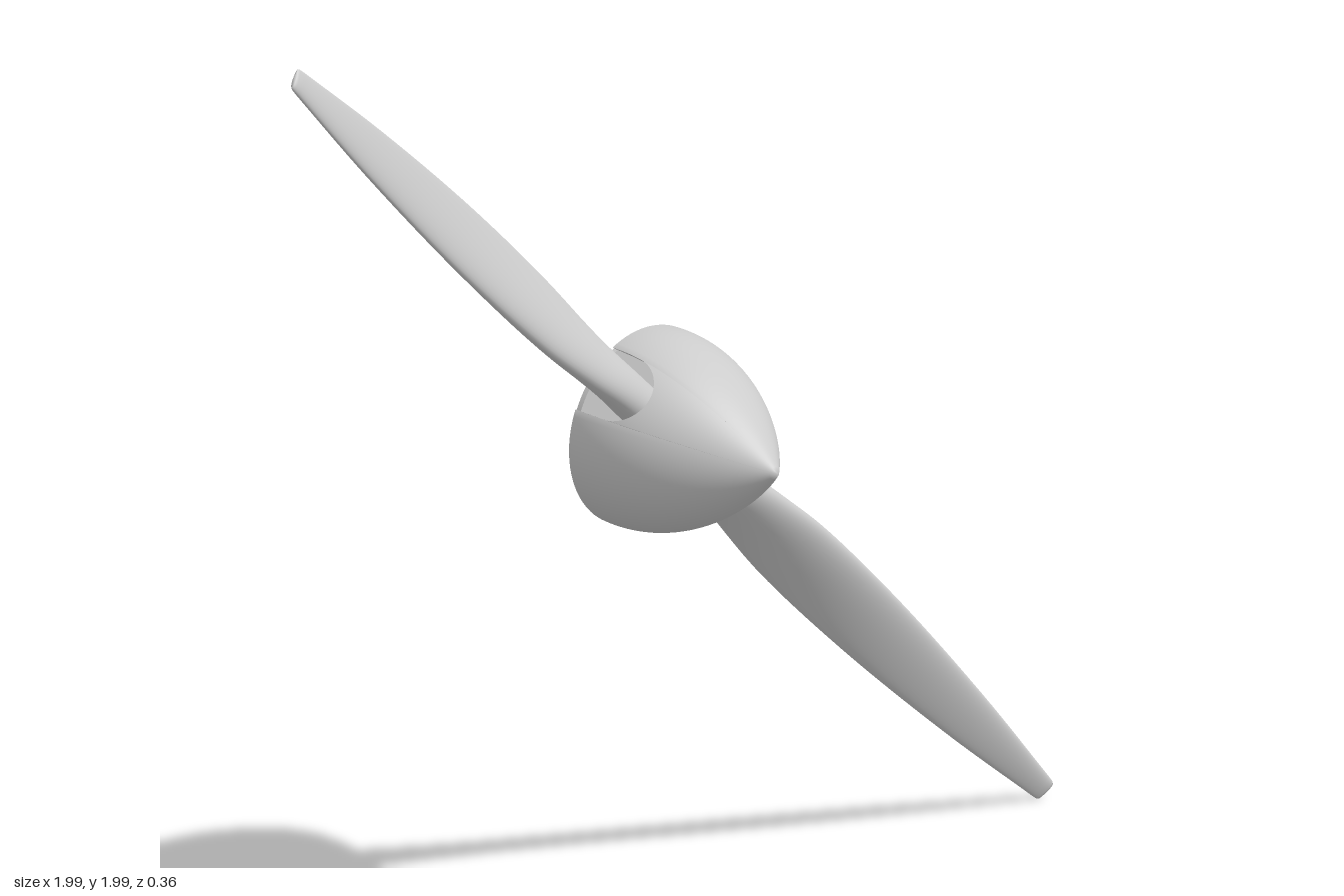
import * as THREE from 'three';
import { mergeVertices } from 'three/addons/utils/BufferGeometryUtils.js';

const HUB_Y = 1, BLADE_Z = -0.107, NOTCH = 0.065;

// Smooth surface from a grid of points: at(i, j) returns [x, y, z]
function grid(nu, nv, at) {
  const pos = [], index = [];
  for (let i = 0; i <= nu; i++) {
    for (let j = 0; j <= nv; j++) {
      pos.push(...at(i, j));
      if (i < nu && j < nv) {
        const a = i * (nv + 1) + j, b = a + nv + 1;
        index.push(a, b, b + 1, a, b + 1, a + 1);
      }
    }
  }
  const geo = new THREE.BufferGeometry();
  geo.setAttribute('position', new THREE.Float32BufferAttribute(pos, 3));
  geo.setIndex(index);
  const merged = mergeVertices(geo, 1e-5);
  merged.computeVertexNormals();
  return merged;
}

// Ogive nose cone with two round-fronted slots, open to the back, for the blades
function spinnerGeometry() {
  const radius = (z) => { const s = (0.18 - z) / 0.36; return 0.214 * s * (1.9 - s); };
  const half = Math.asin(NOTCH / 0.183);
  const columns = [];
  for (let side = 0; side < 2; side++) {
    const mid = side * Math.PI;
    for (let k = 0; k <= 24; k++) {
      const a = -Math.cos((k / 24) * Math.PI); // closer columns at the slot sides
      columns.push([mid + Math.asin(a * Math.sin(half)), BLADE_Z + NOTCH * Math.sqrt(Math.max(0, 1 - a * a))]);
    }
    for (let k = 0; k <= 36; k++) {
      columns.push([mid + half + (k / 36) * (Math.PI - 2 * half), -0.18]);
    }
  }
  columns.push(columns[0]);
  const rows = 32;
  return grid(columns.length - 1, rows, (i, j) => {
    const [phi, end] = columns[i];
    const z = THREE.MathUtils.lerp(0.18, end, j / rows);
    const r = radius(z);
    return [r * Math.cos(phi), -r * Math.sin(phi), z];
  });
}

// Twisted blade along +x: round root shank easing into a thin, tapered tip
function bladeGeometry() {
  // distance, half chord, half thickness, pitch in degrees
  const stations = [
    [0.02, 0.046, 0.042, 58], [0.18, 0.055, 0.039, 53], [0.30, 0.066, 0.031, 43],
    [0.45, 0.075, 0.024, 34], [0.75, 0.070, 0.016, 25], [1.10, 0.049, 0.011, 19],
    [1.37, 0.024, 0.007, 17],
  ];
  const chord = new THREE.CatmullRomCurve3(stations.map(([d, a, b]) => new THREE.Vector3(d, a, b)));
  const pitch = new THREE.CatmullRomCurve3(stations.map(([d, , , p]) => new THREE.Vector3(d, p * Math.PI / 180, 0)));
  const rings = [];
  for (let k = 0; k <= 48; k++) {
    const c = chord.getPoint(k / 48);
    rings.push([c.x, c.y, c.z, pitch.getPoint(k / 48).y]);
  }
  // Blunt rounded tip
  const [, a, b, p] = rings[48];
  rings.push([1.385, a * 0.93, b * 0.85, p], [1.391, a * 0.8, b * 0.55, p], [1.393, 0, 0, p]);
  // Closed root
  rings.unshift([0.02, 0, 0, rings[0][3]]);
  const around = 40;
  return grid(around, rings.length - 1, (i, j) => {
    const [d, ha, hb, pitchAngle] = rings[j];
    const t = ((i % around) / around) * Math.PI * 2;
    const sharp = 0.3 * Math.min(1, Math.max(0, (d - 0.2) * 3)); // thinner trailing edge
    const c = ha * Math.cos(t), h = hb * Math.sin(t) * (1 + sharp * Math.cos(t));
    const cs = Math.cos(pitchAngle), sn = Math.sin(pitchAngle);
    return [d, c * cs - h * sn, c * sn + h * cs];
  });
}

export function createModel() {
  const model = new THREE.Group();
  model.name = 'propeller';
  const metal = new THREE.MeshStandardMaterial({ color: 0xcccccc });
  const shell = new THREE.MeshStandardMaterial({ color: 0xcccccc, side: THREE.DoubleSide });

  const hub = new THREE.Group();
  hub.name = 'hub';
  hub.position.y = HUB_Y;
  hub.rotation.z = Math.PI * 0.75;
  model.add(hub);

  const spinner = new THREE.Mesh(spinnerGeometry(), shell);
  spinner.name = 'spinner';
  hub.add(spinner);

  // Round plate closing the back of the spinner
  const plate = new THREE.Mesh(new THREE.CylinderGeometry(0.189, 0.189, 0.011, 96), metal);
  plate.name = 'backPlate';
  plate.rotation.x = Math.PI / 2;
  plate.position.z = -0.1745;
  hub.add(plate);

  // Two opposite blades
  const bladeGeo = bladeGeometry();
  ['upperBlade', 'lowerBlade'].forEach((name, k) => {
    const blade = new THREE.Mesh(bladeGeo, metal);
    blade.name = name;
    blade.position.z = BLADE_Z;
    blade.rotation.z = k * Math.PI;
    hub.add(blade);
  });
  return model;
}
